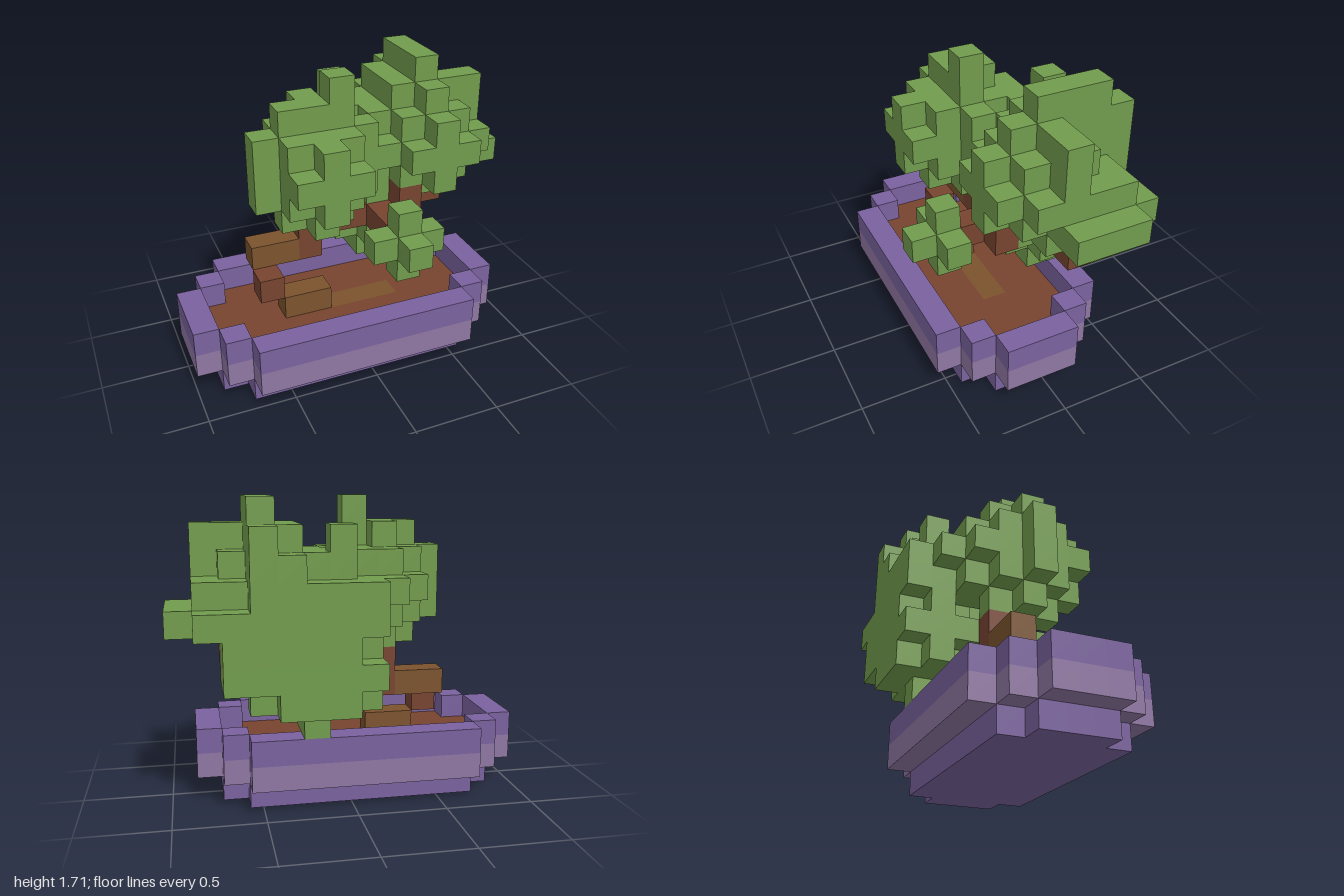
import * as THREE from 'three';
import { mergeGeometries } from 'three/addons/utils/BufferGeometryUtils.js';

const U = 1 / 7; // edge of one cube; grid is 14 x 12 x 8 cells

const material = (name, color) => {
  const m = new THREE.MeshStandardMaterial({ color });
  m.name = name;
  return m;
};

export function createModel() {
  const purple = material('purple glaze', 0x7a629e);
  const mauve = material('mauve glaze', 0x8f77a3);
  const brown = material('bark brown', 0x784430);
  const tan = material('light bark', 0x7b532e);
  const green = material('leaf green', 0x719b4c);

  const cells = new Map(); // "i,j,k" -> part name; first part placed wins
  const parts = new Map();
  const put = (part, i, j, k) => {
    const key = `${i},${j},${k}`;
    if (cells.has(key)) return;
    cells.set(key, part);
    parts.get(part).list.push([i, j, k]);
  };
  const part = (name, mat) => parts.set(name, { mat, list: [] });
  const box = (name, i0, i1, j0, j1, k0, k1) => {
    for (let i = i0; i <= i1; i++)
      for (let j = j0; j <= j1; j++)
        for (let k = k0; k <= k1; k++) put(name, i, j, k);
  };
  // rounded blob of leaves; keep() trims single cubes
  const blob = (name, [a, b, c], r2, keep = () => true) => {
    for (let i = a - 2; i <= a + 2; i++)
      for (let j = b - 2; j <= b + 2; j++)
        for (let k = Math.max(0, c - 2); k <= c + 2; k++) {
          const d = (i - a) ** 2 + (j - b) ** 2 + (k - c) ** 2;
          if (d <= r2 && keep(i, j, k)) put(name, i, j, k);
        }
  };
  // oval slab with stepped corners, inset by whole cubes
  const margin = (k, inset) => inset + Math.max(0, Math.abs(k - 4) - 1);
  const oval = (name, j, inset) => {
    for (let k = 1 + inset; k <= 7 - inset; k++) box(name, margin(k, inset), 12 - margin(k, inset), j, j, k, k);
  };

  part('potBase', purple);
  part('potBand', mauve);
  part('potRim', purple);
  part('soil', brown);
  part('sunkenRoot', tan);
  part('trunk', brown);
  part('lightBark', tan);
  part('leftCrown', green);
  part('rightCrown', green);
  part('backCrown', green);
  part('lowerBackLeaves', green);
  part('frontLeaves', green);

  // Pot and soil
  oval('potBase', 0, 1);
  box('sunkenRoot', 6, 8, 1, 1, 4, 4);
  oval('soil', 1, 1);
  oval('potBand', 1, 0);
  // Rim ring around the soil
  for (let k = 1; k <= 7; k++)
    for (let i = margin(k, 0); i <= 12 - margin(k, 0); i++) {
      const overSoil = k > 1 && k < 7 && i >= margin(k, 1) && i <= 12 - margin(k, 1);
      if (!overSoil) put('potRim', i, 2, k);
    }

  // Crooked trunk and branches
  box('lightBark', 4, 5, 2, 2, 4, 4);
  box('trunk', 3, 3, 3, 3, 4, 4);
  box('lightBark', 3, 4, 4, 4, 3, 3);
  box('trunk', 5, 5, 4, 5, 3, 3);
  box('trunk', 6, 7, 5, 5, 3, 3);
  box('trunk', 8, 9, 5, 5, 4, 4);
  box('trunk', 8, 8, 5, 5, 5, 5);
  box('trunk', 9, 9, 6, 6, 4, 4);
  box('trunk', 11, 11, 5, 6, 2, 2);

  // Left crown with its top tuft
  blob('leftCrown', [5, 8, 4], 5, (i, j, k) => ((i > 3 && i < 7) || k === 4) && !(j === 10 && k === 5));
  box('leftCrown', 6, 6, 10, 11, 4, 4);

  // Right crown: front ball, back ball cut flat at its side, low ledges
  blob('rightCrown', [10, 8, 3], 5, (i, j, k) => !(j === 6 && k === 4));
  blob('rightCrown', [10, 9, 2], 5, (i, j, k) =>
    (i < 11 || k > 2) && !(j === 11 && i !== 10) && !(j === 10 && i === 8));
  box('rightCrown', 12, 12, 10, 10, 3, 3);
  box('rightCrown', 11, 12, 8, 8, 1, 2);
  box('rightCrown', 11, 12, 7, 7, 0, 3);
  box('rightCrown', 13, 13, 7, 7, 1, 3);

  // Middle and lower leaves at the back
  blob('backCrown', [7, 8, 1], 4, (i, j, k) => !(j === 9 && (k === 0 || (k === 1 && i < 7))));
  blob('lowerBackLeaves', [8, 5, 1], 5, (i, j, k) => j > 3 || (i === 8 && k > 0));
  box('lowerBackLeaves', 10, 11, 5, 6, 0, 1);
  box('lowerBackLeaves', 9, 10, 5, 8, 0, 0);
  box('lowerBackLeaves', 11, 11, 5, 6, 1, 1);

  // Small sprig at the front
  blob('frontLeaves', [8, 5, 6], 1);

  // Six outward face templates
  const faces = [
    [1, 0, 0], [-1, 0, 0], [0, 1, 0], [0, -1, 0], [0, 0, 1], [0, 0, -1],
  ].map((n) => {
    const q = new THREE.Quaternion().setFromUnitVectors(new THREE.Vector3(0, 0, 1), new THREE.Vector3(...n));
    const g = new THREE.PlaneGeometry(U, U).applyQuaternion(q);
    return { n, g: g.translate(n[0] * U / 2, n[1] * U / 2, n[2] * U / 2) };
  });

  // Only cube faces open to the air are built
  const group = new THREE.Group();
  group.name = 'pottedTree';
  for (const [name, { mat, list }] of parts) {
    const quads = [];
    for (const [i, j, k] of list)
      for (const { n, g } of faces)
        if (!cells.has(`${i + n[0]},${j + n[1]},${k + n[2]}`))
          quads.push(g.clone().translate((i - 6.5) * U, (j + 0.5) * U, (k - 3.5) * U));
    const mesh = new THREE.Mesh(mergeGeometries(quads), mat);
    mesh.name = name;
    group.add(mesh);
  }
  return group;
}
